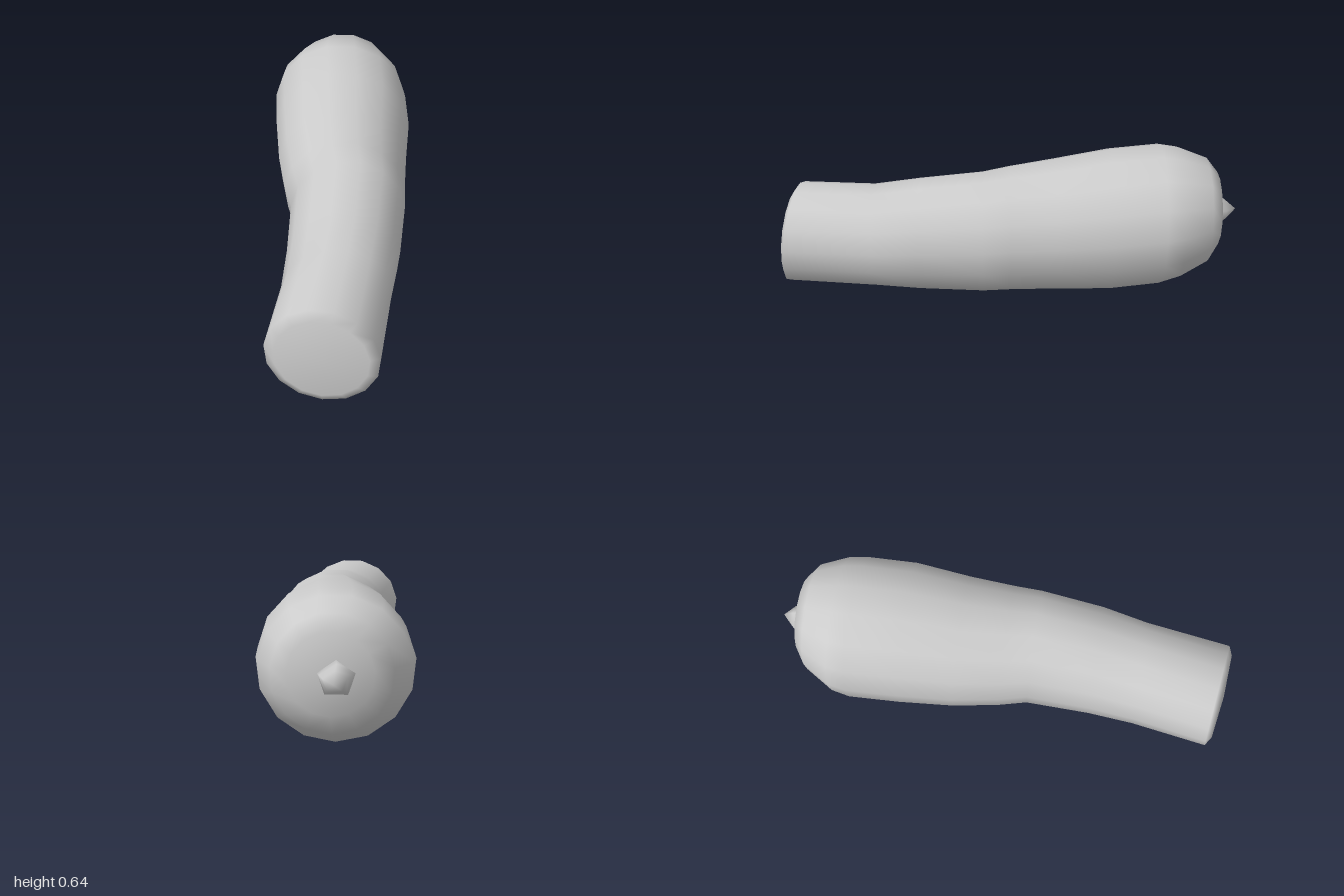
import * as THREE from 'three';

const material = new THREE.MeshStandardMaterial({ color: 0xcccccc });

// Skin elliptical rings [z, left, right, bottom, top, tiltX, tiltY], front to back,
// closing each end on a pole [x, y, z].
function loft(name, rings, sides, frontPole, backPole) {
  const positions = [], index = [];
  for (const [z, left, right, bottom, top, tiltX = 0, tiltY = 0] of rings) {
    for (let j = 0; j < sides; j++) {
      const a = ((j + 0.25) / sides) * Math.PI * 2;
      const dx = Math.cos(a) * (right - left) / 2;
      const dy = Math.sin(a) * (top - bottom) / 2;
      positions.push((left + right) / 2 + dx, (bottom + top) / 2 + dy, z + tiltX * dx + tiltY * dy);
    }
  }
  const last = (rings.length - 1) * sides;
  const front = rings.length * sides, back = front + 1;
  positions.push(...frontPole, ...backPole);
  for (let j = 0; j < sides; j++) {
    const k = (j + 1) % sides;
    index.push(front, j, k, back, last + k, last + j);
    for (let s = 0; s < last; s += sides) {
      index.push(s + j, s + sides + j, s + k, s + k, s + sides + j, s + sides + k);
    }
  }
  const geometry = new THREE.BufferGeometry();
  geometry.setAttribute('position', new THREE.Float32BufferAttribute(positions, 3));
  geometry.setIndex(index);
  geometry.computeVertexNormals();
  const mesh = new THREE.Mesh(geometry, material);
  mesh.name = name;
  return mesh;
}

export function createModel() {
  const group = new THREE.Group();
  group.name = 'squash';

  // Gently bent body: slim cut neck at the front, swollen rounded end at the back
  group.add(loft('body', [
    [0.975, -0.24, 0.135, 0.05, 0.42, 0.13, -0.08],
    [0.955, -0.278, 0.178, 0.012, 0.455, 0.14, -0.09],
    [0.6, -0.228, 0.228, 0.012, 0.468],
    [0.4, -0.215, 0.262, 0.008, 0.508],
    [0.12, -0.212, 0.288, 0.003, 0.545],
    [0, -0.245, 0.29, 0.002, 0.56],
    [-0.2, -0.283, 0.3, 0, 0.585],
    [-0.44, -0.308, 0.318, 0, 0.628],
    [-0.66, -0.322, 0.306, 0.018, 0.643],
    [-0.74, -0.308, 0.292, 0.045, 0.63],
    [-0.86, -0.235, 0.235, 0.115, 0.588],
    [-0.91, -0.16, 0.17, 0.2, 0.525],
  ], 15, [-0.05, 0.235, 0.985], [0, 0.35, -0.915]));

  // Short pointed stem stub
  group.add(loft('stem', [
    [-0.89, -0.1, 0.07, 0.26, 0.435],
    [-0.93, -0.085, 0.05, 0.285, 0.41],
    [-0.955, -0.06, 0.035, 0.305, 0.39],
  ], 5, [-0.01, 0.35, -0.88], [-0.01, 0.35, -1]));

  return group;
}
